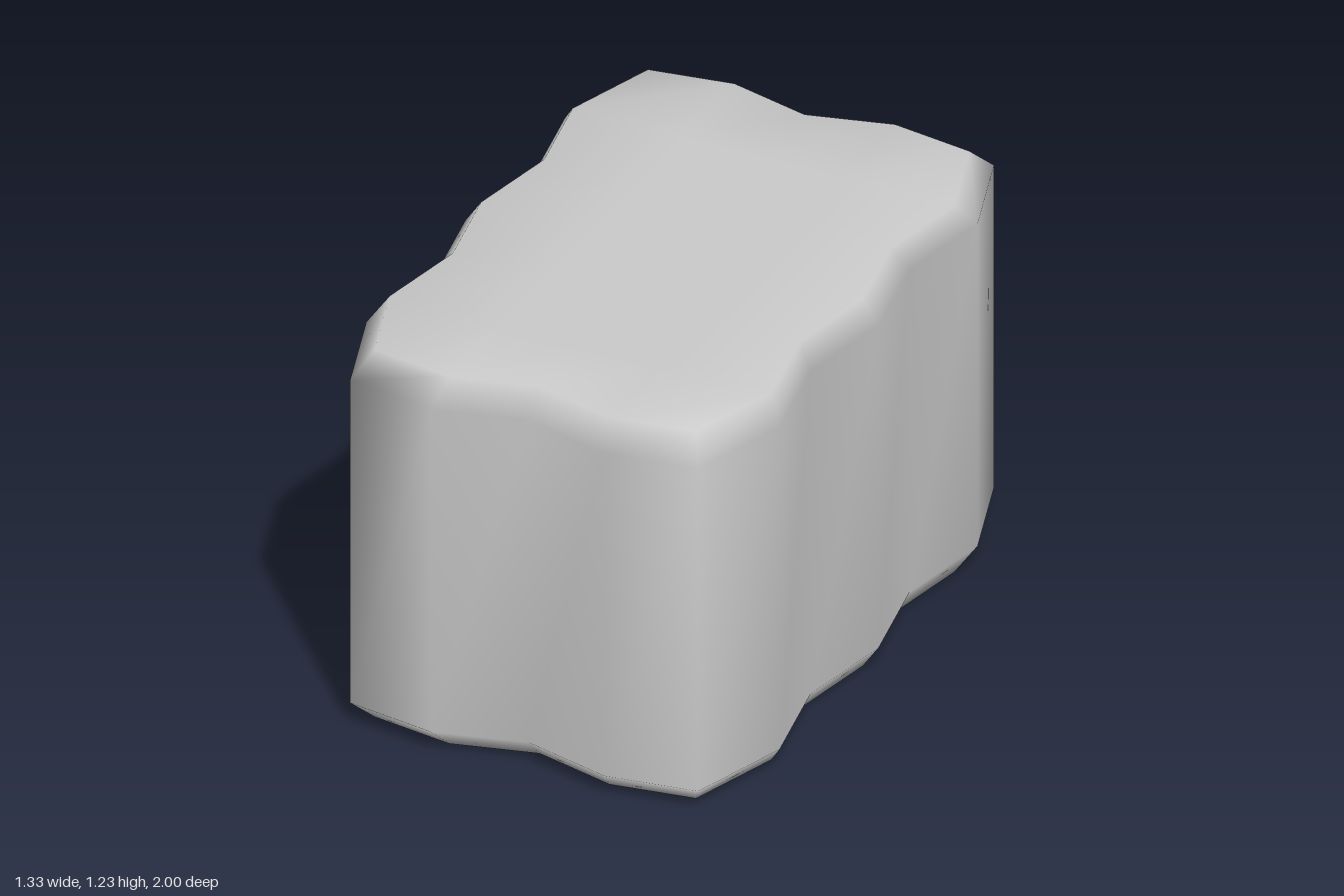
import * as THREE from 'three';
import { mergeVertices } from 'three/addons/utils/BufferGeometryUtils.js';

const HEIGHT = 1.23, BEVEL = 0.075, INSET = 0.923;
const STEP_X = 0.28, STEP_Z = 0.32;
// wavy wall distances, indexed by grid steps from the middle of the wall
const SIDE_X = [0.665, 0.605, 0.665, 0.56];
const END_Z = [0.928, 1.0, 0.957];

function wavyBlockGeometry() {
  const box = new THREE.BoxGeometry(4 * STEP_X, 3, 6 * STEP_Z, 4, 3, 6);
  // share vertices across the box faces so the shading is smooth all round
  box.deleteAttribute('uv');
  box.deleteAttribute('normal');
  const geometry = mergeVertices(box);
  const p = geometry.attributes.position;
  const rows = [0, BEVEL, HEIGHT - BEVEL, HEIGHT];
  for (let n = 0; n < p.count; n++) {
    const i = Math.round(p.getX(n) / STEP_X);
    const j = Math.round(p.getZ(n) / STEP_Z);
    const row = Math.round(p.getY(n) + 1.5);
    let x = i * STEP_X, z = j * STEP_Z;
    // push the walls in and out in waves
    if (Math.abs(i) === 2) x = Math.sign(i) * SIDE_X[Math.abs(j)];
    if (Math.abs(j) === 3) z = Math.sign(j) * END_Z[Math.abs(i)];
    // draw in the top and bottom to bevel the rims
    const s = row === 0 || row === 3 ? INSET : 1;
    p.setXYZ(n, x * s, rows[row], z * s);
  }
  geometry.computeVertexNormals();
  return geometry;
}

export function createModel() {
  const group = new THREE.Group();
  group.name = 'wavyBlock';
  const body = new THREE.Mesh(
    wavyBlockGeometry(),
    new THREE.MeshStandardMaterial({ color: 0xcccccc })
  );
  body.name = 'body';
  group.add(body);
  return group;
}
